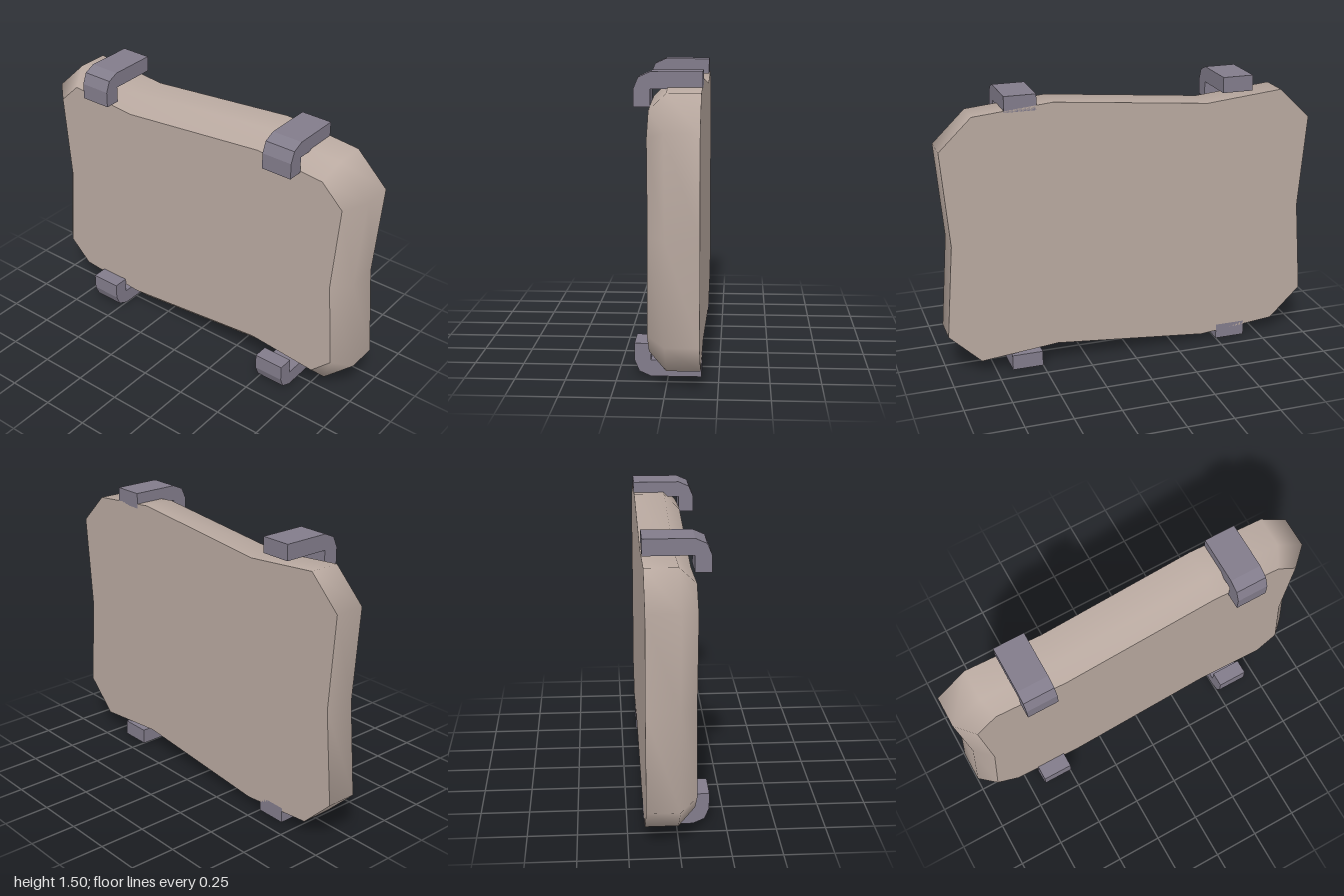
import * as THREE from 'three';

const panelMat = new THREE.MeshStandardMaterial({ name: 'warm beige', color: 0xb9a9a0 });
const clipMat = new THREE.MeshStandardMaterial({ name: 'slate grey', color: 0x827c8b });

const FRONT = 0.165, SHOULDER = 0, BACK = -0.085, BEVEL = 0.085;

// Panel outline as (z, y), anticlockwise
const outline = [
  [1, 0.245], [0.96, 0.745], [1, 1.245], [0.83, 1.41], [0.415, 1.45], [-0.415, 1.37], [-0.83, 1.41],
  [-1, 1.245], [-0.96, 0.745], [-1, 0.245], [-0.83, 0.08], [-0.415, 0.04], [0.415, 0.12], [0.83, 0.08],
].map(([z, y]) => new THREE.Vector2(z, y));

// Moves every edge of an anticlockwise outline inwards by d
function inset(points, d) {
  const n = points.length;
  const normal = (a, b) => new THREE.Vector2(a.y - b.y, b.x - a.x).normalize();
  return points.map((p, i) => {
    const n1 = normal(points[(i + n - 1) % n], p);
    const n2 = normal(p, points[(i + 1) % n]);
    return p.clone().addScaledVector(n1.clone().add(n2), d / (1 + n1.dot(n2)));
  });
}

// Smooth band joining the outlines, listed from back to front
function rim(rings) {
  const pos = [], index = [], n = outline.length;
  for (const { x, pts } of rings) for (const p of pts) pos.push(x, p.y, p.x);
  for (let r = 0; r < rings.length - 1; r++) {
    for (let i = 0; i < n; i++) {
      const a = r * n + i, b = r * n + (i + 1) % n;
      index.push(a, a + n, b, b, a + n, b + n);
    }
  }
  const geo = new THREE.BufferGeometry();
  geo.setAttribute('position', new THREE.Float32BufferAttribute(pos, 3));
  geo.setIndex(index);
  geo.computeVertexNormals();
  return geo;
}

function addMesh(parent, name, geo, mat) {
  const mesh = new THREE.Mesh(geo, mat);
  mesh.name = name;
  parent.add(mesh);
  return mesh;
}

export function createModel() {
  const model = new THREE.Group();
  model.name = 'clippedPanel';

  // Panel: smooth rim with a bevelled back, closed by two flat faces
  const panel = new THREE.Group();
  panel.name = 'panel';
  model.add(panel);
  const inner = inset(outline, BEVEL);
  const band = rim([{ x: BACK, pts: inner }, { x: SHOULDER, pts: outline }, { x: FRONT, pts: outline }]);
  addMesh(panel, 'panelRim', band, panelMat);

  const flipped = outline.map((p) => new THREE.Vector2(-p.x, p.y));
  const flatFace = new THREE.ShapeGeometry(new THREE.Shape(flipped)).rotateY(Math.PI / 2);
  addMesh(panel, 'panelFlatFace', flatFace.translate(FRONT, 0, 0), panelMat);
  const bevelFace = new THREE.ShapeGeometry(new THREE.Shape(inner)).rotateY(-Math.PI / 2);
  addMesh(panel, 'panelBevelledFace', bevelFace.translate(BACK, 0, 0), panelMat);

  // Hooked clips: two on the top edge, two on the bottom
  const hook = [
    [0.165, 0], [0.165, 0.083], [-0.085, 0.083], [-0.085, 0.167],
    [-0.167, 0.167], [-0.167, 0.083], [-0.143, 0.026], [-0.085, 0],
  ];
  const width = 0.166;
  for (const top of [false, true]) {
    const pts = hook.map(([x, y]) => new THREE.Vector2(x, top ? 1.5 - y : y));
    const geo = new THREE.ExtrudeGeometry(new THREE.Shape(pts), { depth: width, bevelEnabled: false });
    geo.translate(0, 0, -width / 2);
    for (const z of [-0.583, 0.583]) {
      addMesh(model, (top ? 'top' : 'bottom') + 'Clip' + (z > 0 ? 'Front' : 'Back'), geo, clipMat).position.z = z;
    }
  }
  return model;
}
